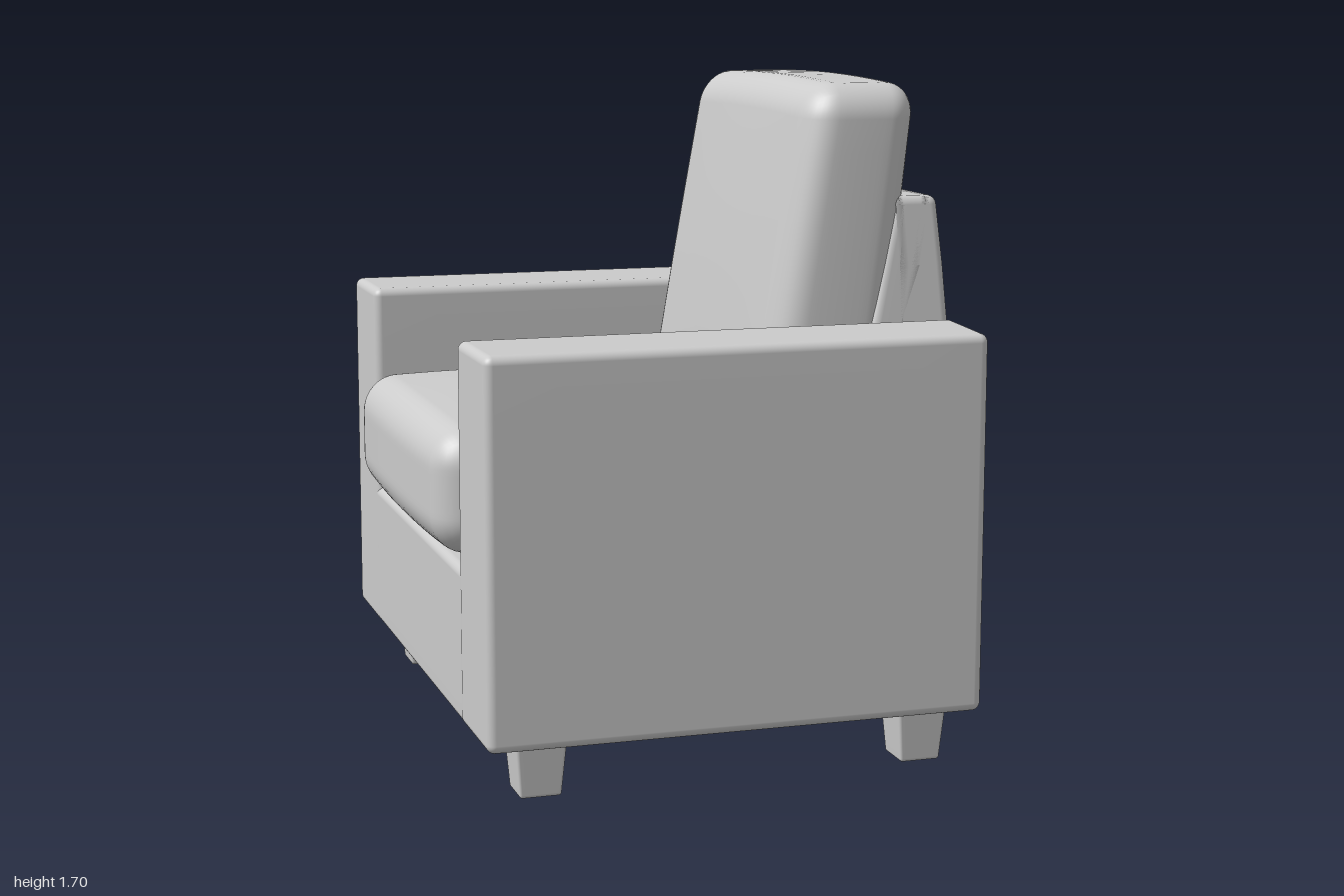
import * as THREE from 'three';
import { mergeVertices } from 'three/addons/utils/BufferGeometryUtils.js';

const clamp = THREE.MathUtils.clamp;
const material = new THREE.MeshStandardMaterial({ color: 0xcccccc });

// Finely divided box with rounded edges, placed at a centre, then reshaped by an optional rule
function softBox(name, size, centre, radius, rule) {
  const N = 18, E = 5; // divisions per side, divisions spent on each rounded edge
  const geo = new THREE.BoxGeometry(2, 2, 2, N, N, N);
  geo.deleteAttribute('uv');
  geo.deleteAttribute('normal');
  const pos = geo.attributes.position;
  const v = new THREE.Vector3(), core = new THREE.Vector3();
  const remap = (t, half) => {
    const i = Math.round((Math.abs(t) * N) / 2), flat = N / 2 - E;
    const a = i <= flat
      ? (i / flat) * (half - radius)
      : half - radius + radius * Math.tan(((i - flat) / E) * Math.PI / 4);
    return Math.sign(t) * a;
  };
  for (let i = 0; i < pos.count; i++) {
    v.fromBufferAttribute(pos, i);
    v.set(remap(v.x, size[0] / 2), remap(v.y, size[1] / 2), remap(v.z, size[2] / 2));
    core.set(...['x', 'y', 'z'].map((k, j) => clamp(v[k], radius - size[j] / 2, size[j] / 2 - radius)));
    v.sub(core).normalize().multiplyScalar(radius).add(core);
    v.x += centre[0];
    v.y += centre[1];
    v.z += centre[2];
    if (rule) rule(v);
    pos.setXYZ(i, v.x, v.y, v.z);
  }
  const merged = mergeVertices(geo, 1e-5);
  merged.computeVertexNormals();
  const mesh = new THREE.Mesh(merged, material);
  mesh.name = name;
  return mesh;
}

// Gentle outward curve of the rear upholstery, fading towards the top of the back
function bulgeRear(v) {
  const near = clamp((-v.z - 0.4) / 0.2, 0, 1);
  const fade = 1 - clamp((v.y - 1.0) / 0.41, 0, 1) ** 1.5;
  v.z -= 0.055 * near * fade * Math.cos((clamp(v.x / 0.79, -1, 1) * Math.PI) / 2);
}

export function createModel() {
  const group = new THREE.Group();
  group.name = 'armchair';
  const chair = new THREE.Group();
  chair.name = 'turnedChair';
  chair.rotation.y = -THREE.MathUtils.degToRad(59);
  group.add(chair);

  // Arms and legs, mirrored left and right
  for (const s of [1, -1]) {
    const side = s > 0 ? 'left' : 'right';
    chair.add(softBox(side + 'Arm', [0.285, 0.95, 1.264], [s * 0.6475, 0.625, 0], 0.022, bulgeRear));

    for (const [end, z] of [['Front', 0.475], ['Back', -0.515]]) {
      chair.add(softBox(side + end + 'Leg', [0.13, 0.17, 0.13], [0, 0.085, 0], 0.008, (v) => {
        const k = 0.8 + 0.2 * clamp(v.y / 0.15, 0, 1);
        v.x = v.x * k + s * 0.628;
        v.z = v.z * k + z;
      }));
    }
  }

  // Base under the seat, flush with the arms
  chair.add(softBox('base', [1.08, 0.39, 1.262], [0, 0.345, 0], 0.022, bulgeRear));

  // Back panel, narrowing and thinning towards its top
  chair.add(softBox('back', [1.06, 1.26, 0.23], [0, 0.78, -0.515], 0.022, (v) => {
    bulgeRear(v);
    const up = clamp((v.y - 0.9) / 0.51, 0, 1);
    v.x *= (v.y < 0.9 ? 1 : 0.965) * (1 - 0.105 * up);
    if (v.z > -0.5) v.z -= 0.12 * up;
  }));

  // Plump seat cushion, crowned above and slightly below
  chair.add(softBox('seatCushion', [1.0, 0.3, 1.13], [0, 0.715, 0.115], 0.09, (v) => {
    const a = clamp(1 - (v.x / 0.5) ** 2, 0, 1), b = clamp(1 - ((v.z - 0.115) / 0.565) ** 2, 0, 1);
    v.y += (v.y - 0.715) * 0.2 * Math.sqrt(a * b);
    if (v.z > 0.5) v.z += 0.012 * a;
  }));

  // Back cushion leaning against the back panel, thinner at the top
  chair.add(softBox('backCushion', [0.95, 0.85, 0.32], [0, 1.265, 0], 0.085, (v) => {
    const h = clamp((v.y - 0.84) / 0.85, 0, 1);
    const a = clamp(1 - (v.x / 0.475) ** 2, 0, 1), c = clamp(1 - (v.z / 0.16) ** 2, 0, 1);
    v.x *= 1 + 0.03 * Math.sqrt(c) - 0.03 * h;
    v.z *= (1.06 - 0.14 * h) * (1 + 0.06 * a * Math.sin(Math.PI * h));
    v.y += 0.012 * a * h;
    v.z -= 0.315 + 0.125 * h;
  }));

  return group;
}
